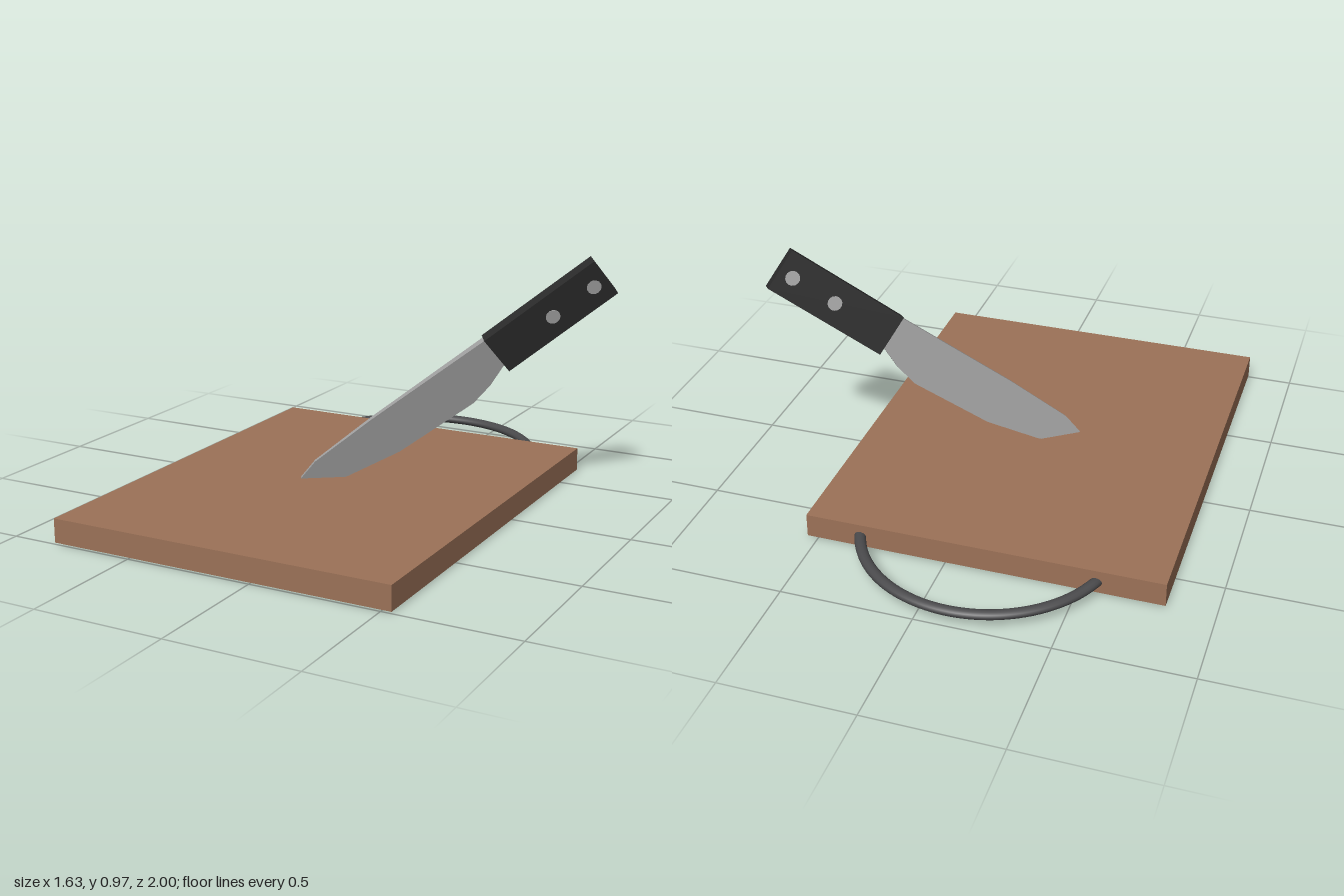
import * as THREE from 'three';

const material = (name, color, flatShading = false) => {
  const m = new THREE.MeshStandardMaterial({ color, flatShading });
  m.name = name;
  return m;
};

const addMesh = (parent, name, geometry, mat) => {
  const mesh = new THREE.Mesh(geometry, mat);
  mesh.name = name;
  parent.add(mesh);
  return mesh;
};

export function createModel() {
  const model = new THREE.Group();
  model.name = 'cuttingBoardWithKnife';

  const wood = material('wood', 0x9c7258);
  const steel = material('blade steel', 0xa0a0a0, true);
  const black = material('black grip', 0x2b2b2b);
  const rivetMetal = material('rivet metal', 0xa6a6a6);
  const iron = material('dark iron', 0x4a4a4c);

  // Board slab
  addMesh(model, 'board', new THREE.BoxGeometry(1.36, 0.092, 1.67), wood)
    .position.set(-0.14, 0.056, 0.165);

  // Carrying loop: a flattened tube on an arc, one end dipping inside the board
  const flatten = 0.8;
  const loopPoints = [new THREE.Vector3(-0.588, 0.02 / flatten, -0.54)];
  for (let i = 0; i <= 16; i++) {
    const a = THREE.MathUtils.lerp(-1.2, 1.45, i / 16);
    loopPoints.push(new THREE.Vector3(
      -0.12 + 0.4785 * Math.sin(a), 0.055 / flatten, -0.5 - 0.4785 * Math.cos(a)));
  }
  const loop = new THREE.TubeGeometry(new THREE.CatmullRomCurve3(loopPoints), 64, 0.0215, 12);
  loop.scale(1, flatten, 1);
  addMesh(model, 'carryLoop', loop, iron);

  // Knife frame: x runs along the grip, y towards the spine, origin at the spine by the grip
  const knife = new THREE.Group();
  knife.name = 'knife';
  const along = new THREE.Vector3(0.722, 0.608, -0.331).normalize();
  const side = along.clone().cross(new THREE.Vector3(-0.419, 0.754, 0.509)).normalize();
  const up = side.clone().cross(along);
  knife.quaternion.setFromRotationMatrix(new THREE.Matrix4().makeBasis(along, up, side));
  knife.position.set(0.364, 0.667, -0.088);
  model.add(knife);

  // Grip
  addMesh(knife, 'grip', new THREE.BoxGeometry(0.502, 0.167, 0.051), black)
    .position.set(0.251, -0.0835, 0);

  // Rivets, showing on both sides of the grip
  for (const x of [0.258, 0.445]) {
    const rivet = addMesh(knife, 'rivet', new THREE.CylinderGeometry(0.028, 0.028, 0.055, 14), rivetMetal);
    rivet.rotation.x = Math.PI / 2;
    rivet.position.set(x, -0.087, 0);
  }

  // Blade, thinning towards the tip
  const outline = [
    [0.02, -0.005], [-0.523, 0.003], [-0.804, -0.003], [-0.891, -0.026], [-0.95, -0.08],
    [-0.747, -0.138], [-0.53, -0.182], [-0.186, -0.196], [-0.092, -0.175], [-0.006, -0.14], [0.02, -0.13],
  ].map(([x, y]) => new THREE.Vector2(x, y));
  const blade = new THREE.ExtrudeGeometry(new THREE.Shape(outline), { depth: 1, bevelEnabled: false });
  const p = blade.attributes.position;
  for (let i = 0; i < p.count; i++) {
    const thickness = 0.032 * (1 + 0.75 * Math.min(0, p.getX(i)));
    p.setZ(i, (p.getZ(i) - 0.5) * thickness);
  }
  blade.computeVertexNormals();
  addMesh(knife, 'blade', blade, steel);

  return model;
}
